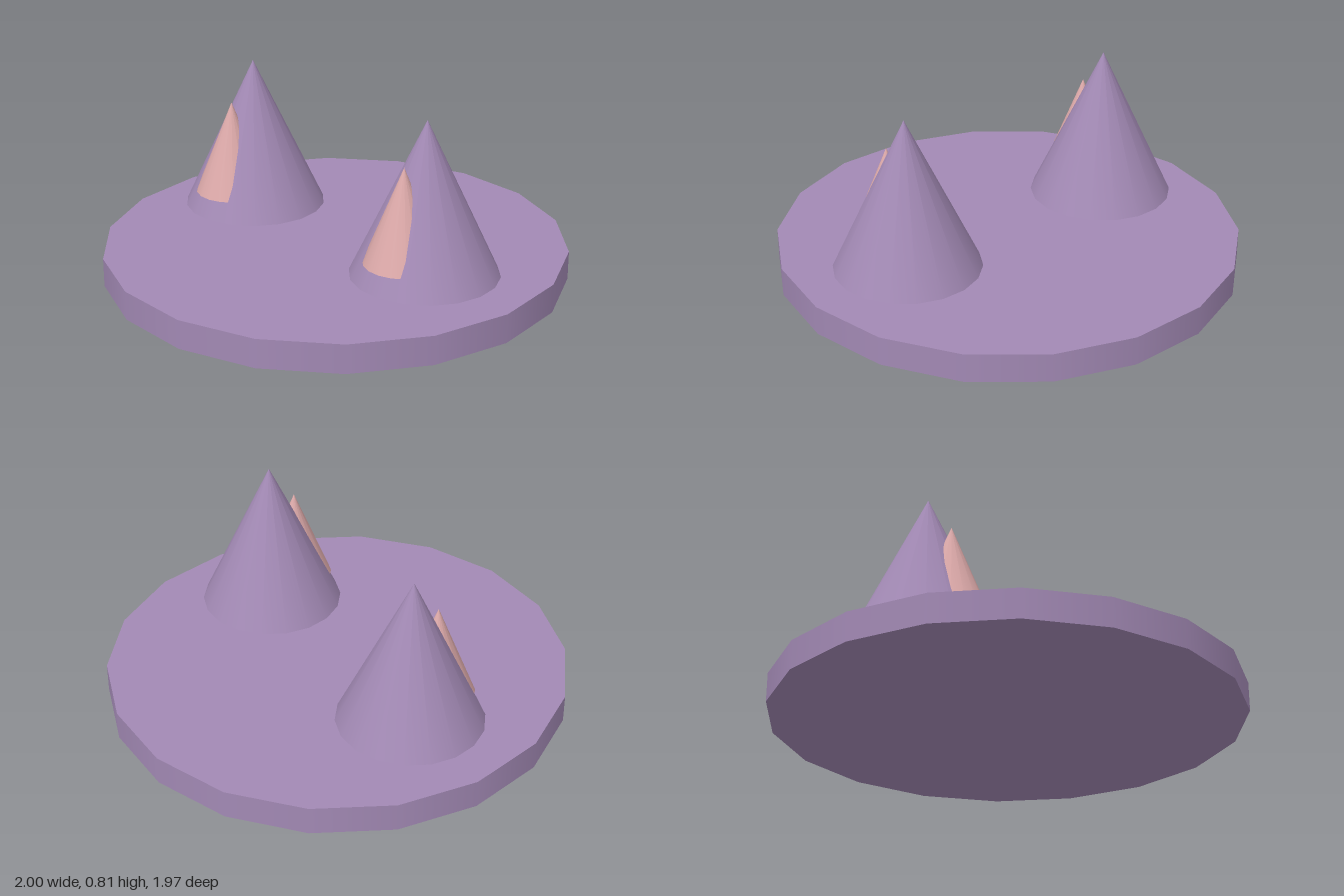
import * as THREE from 'three';

const SIDES = 18;
const purple = new THREE.MeshStandardMaterial({ color: 0xa289b4 });
const pink = new THREE.MeshStandardMaterial({ color: 0xdca9a9 });

// Upright cylinder or cone standing on y = bottom, with a corner on the x axis
function turned(name, topRadius, bottomRadius, bottom, height, material) {
  const geometry = new THREE.CylinderGeometry(topRadius, bottomRadius, height, SIDES);
  geometry.rotateY(Math.PI / 2);
  geometry.translate(0, bottom + height / 2, 0);
  const mesh = new THREE.Mesh(geometry, material);
  mesh.name = name;
  return mesh;
}

// Outer cone with a smaller pink cone sunk into its front
function makeEar(name, x) {
  const ear = new THREE.Group();
  ear.name = name;
  const inner = turned('innerEar', 0, 0.164, 0.233, 0.408, pink);
  inner.position.z = 0.126;
  ear.add(turned('outerEar', 0, 0.312, 0.148, 0.662, purple), inner);
  ear.position.x = x;
  return ear;
}

export function createModel() {
  const model = new THREE.Group();
  model.name = 'earedDisc';

  // Flat round base
  model.add(turned('baseDisc', 1, 1, 0, 0.125, purple));

  // Pair of ears, hovering just above the base
  model.add(makeEar('leftEar', 0.541), makeEar('rightEar', -0.541));

  return model;
}
